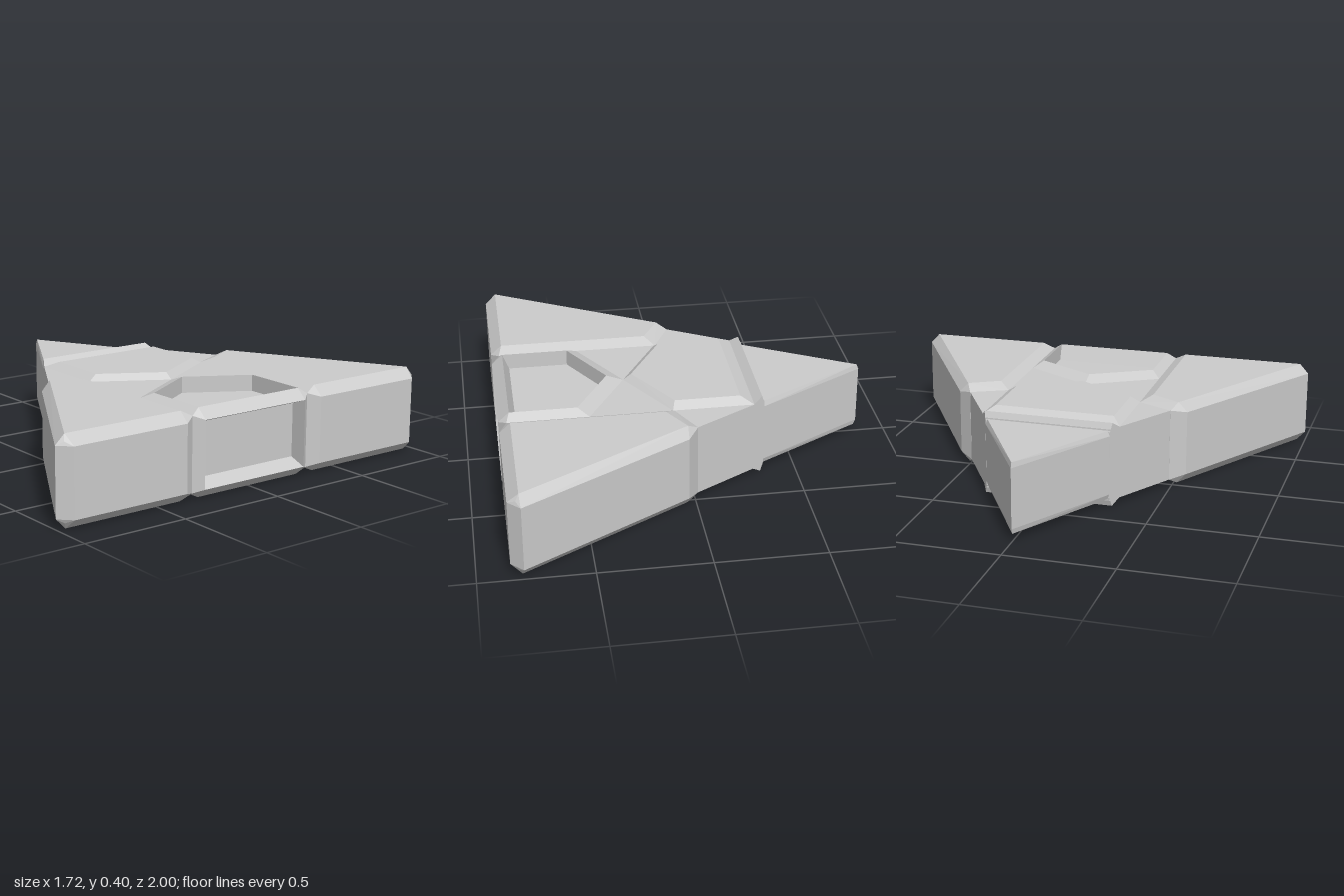
import * as THREE from 'three';
import { ConvexGeometry } from 'three/addons/geometries/ConvexGeometry.js';

const H = 0.395;       // overall height
const SEAM = 0.367;    // level of the grooves between armour panels

export function createModel() {
  const group = new THREE.Group();
  const material = new THREE.MeshStandardMaterial({ color: 0xcccccc, flatShading: true });

  const add = (name, geometry) => {
    const mesh = new THREE.Mesh(geometry, material);
    mesh.name = name;
    group.add(mesh);
  };
  const flipY = (pts) => pts.map(([x, y, z]) => [x, H - y, z]);
  const flipZ = (pts) => pts.map(([x, y, z]) => [x, y, -z]);
  const hull = (name, pts) =>
    add(name, new ConvexGeometry(pts.map((p) => new THREE.Vector3(...p))));
  // bevelled block, identical above and below mid height
  const block = (name, pts) => hull(name, [...pts, ...flipY(pts)]);
  // half-width of the triangular outline at x
  const edge = (x) => (x + 0.855) * 0.578;

  // Core slab with a notch for the tail pocket
  const half = [[-0.347, edge(-0.347)], [0.82, edge(0.82)], [0.82, 0.28], [0.5, 0.28]];
  const outline = [...half, [0.34, 0], ...half.map(([x, z]) => [x, -z]).reverse()];
  const core = new THREE.ExtrudeGeometry(
    new THREE.Shape(outline.map(([x, z]) => new THREE.Vector2(x, z))),
    { depth: 2 * SEAM - H, bevelEnabled: false }
  );
  core.rotateX(Math.PI / 2);
  core.translate(0, SEAM, 0);
  add('core', core);

  // Nose wedge
  const nose = [[-0.86, 0.336, 0], [-0.347, 0.336, 0.293], [-0.85, 0.36, 0], [-0.347, 0.36, 0.283]];
  block('nose', [...nose, ...flipZ(nose)]);

  // Ridge behind the nose
  const ridge = [[-0.349, 0.355], [-0.335, H], [-0.296, SEAM]].map(([x, y]) => [x, y, edge(x)]);
  block('noseRidge', [...ridge, ...flipZ(ridge)]);

  // Raised plate in the middle
  const plate = [
    [-0.296, SEAM, 0.323], [0.075, SEAM, 0.323], [0.262, SEAM, 0],
    [-0.238, H, 0.28], [0.062, H, 0.28], [0.225, H, 0],
  ];
  block('centrePlate', [...plate, ...flipZ(plate)]);

  // Wing with bevelled top, outer side and end
  const wing = [
    [-0.012, SEAM, 0.488], [0.07, SEAM, 0.323], [0.82, SEAM, 0.323], [0.82, SEAM, 0.97],
    [0.037, H, 0.515], [0.116, H, 0.376], [0.805, H, 0.376], [0.805, H, 0.958],
    [0.037, 0.35, 0.557], [0.8, 0.35, 1], [0.855, 0.35, 0.945], [0.855, 0.35, 0.376],
  ];

  // Side of the tail frame, bevelled outward and upright on the inside
  const frameSide = [
    [0.45, SEAM, 0.323], [0.82, SEAM, 0.323], [0.5, H, 0.28],
    [0.805, H, 0.28], [0.855, 0.35, 0.28],
  ];

  // Slanted front of the tail frame
  const frameFront = [[0.262, SEAM, 0], [0.45, SEAM, 0.323], [0.34, H, 0], [0.5, H, 0.28]];

  for (const [side, place] of [['left', flipZ], ['right', (p) => p]]) {
    block(`${side}Wing`, place(wing));
    block(`${side}TailFrameSide`, place(frameSide));
    block(`${side}TailFrameFront`, place(frameFront));
  }

  // Cross bars of the tail frame, top and bottom
  const bar = [[0.805, H], [0.82, SEAM], [0.855, 0.35], [0.775, 0.32]].map(([x, y]) => [x, y, 0.28]);
  const fullBar = [...bar, ...flipZ(bar)];
  hull('upperTailBar', fullBar);
  hull('lowerTailBar', flipY(fullBar));

  // Sunken block inside the tail frame
  const inner = [[0.34, 0.32, 0], [0.5, 0.32, 0.28], [0.775, 0.32, 0.28]];
  block('tailInset', [...inner, ...flipZ(inner)]);

  return group;
}
